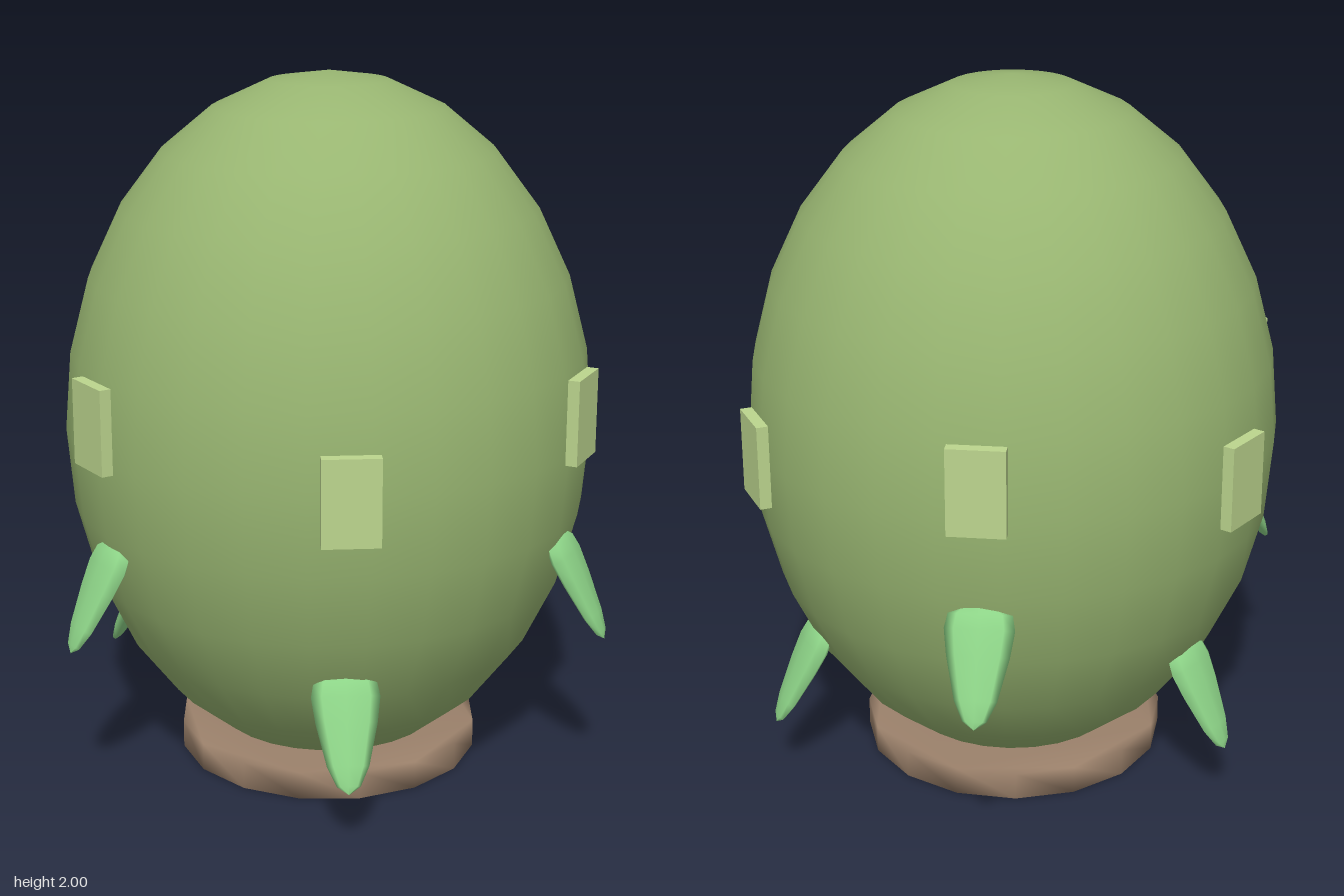
import * as THREE from 'three';
import { mergeVertices } from 'three/addons/utils/BufferGeometryUtils.js';

const CENTRE_X = 0.037;

function material(name, color) {
  const m = new THREE.MeshStandardMaterial({ color });
  m.name = name;
  return m;
}

function part(name, geometry, mat) {
  const mesh = new THREE.Mesh(geometry, mat);
  mesh.name = name;
  return mesh;
}

// Flat disc with shared, softly shaded edges
function discGeometry(radius, height, sides) {
  const points = [];
  for (let i = 0; i < sides; i++) {
    const a = (i / sides) * Math.PI * 2;
    points.push(new THREE.Vector2(radius * Math.cos(a), radius * Math.sin(a)));
  }
  let g = new THREE.ExtrudeGeometry(new THREE.Shape(points), { depth: height, bevelEnabled: false });
  g.rotateX(-Math.PI / 2);
  g.deleteAttribute('normal');
  g.deleteAttribute('uv');
  g = mergeVertices(g);
  g.computeVertexNormals();
  return g;
}

// Flattened spine, tip at the origin, root leaning in towards -x
function spineGeometry() {
  const profile = [
    [0, 0], [0.032, 0.022], [0.057, 0.075], [0.084, 0.19],
    [0.094, 0.26], [0.086, 0.3], [0.05, 0.325], [0, 0.33],
  ].map(([r, y]) => new THREE.Vector2(r, y));
  const g = new THREE.LatheGeometry(profile, 8);
  g.scale(0.3, 1, 1);
  g.rotateZ(THREE.MathUtils.degToRad(28));
  return g;
}

export function createModel() {
  const model = new THREE.Group();
  model.name = 'spinyEgg';

  const bodyGreen = material('body green', 0x98b571);
  const plateGreen = material('pale plate green', 0xbcd58e);
  const spineGreen = material('spine green', 0x8ed588);
  const baseBrown = material('base brown', 0x9a806a);

  // Egg-shaped body
  const body = part('body', new THREE.SphereGeometry(1, 28, 14).scale(0.755, 1, 0.755), bodyGreen);
  body.position.set(CENTRE_X, 1, 0);
  model.add(body);

  // Round base
  const base = part('base', discGeometry(0.44, 0.08, 16), baseBrown);
  base.position.x = CENTRE_X;
  model.add(base);

  // Alternating low and high sets of plate and spine around the body
  const plateGeometry = new THREE.BoxGeometry(0.033, 0.24, 0.156);
  const spine = spineGeometry();
  for (let i = 0; i < 6; i++) {
    const high = i % 2 === 1;
    const side = new THREE.Group();
    side.name = high ? 'highSet' : 'lowSet';
    side.position.x = CENTRE_X;
    side.rotation.y = (-i * Math.PI) / 3;

    const plateMesh = part('plate', plateGeometry, plateGreen);
    plateMesh.position.set(0.767, high ? 1.1 : 1, 0);

    const spineMesh = part('spine', spine, spineGreen);
    spineMesh.position.set(high ? 0.857 : 0.747, high ? 0.465 : 0.17, 0);

    side.add(plateMesh, spineMesh);
    model.add(side);
  }
  return model;
}
